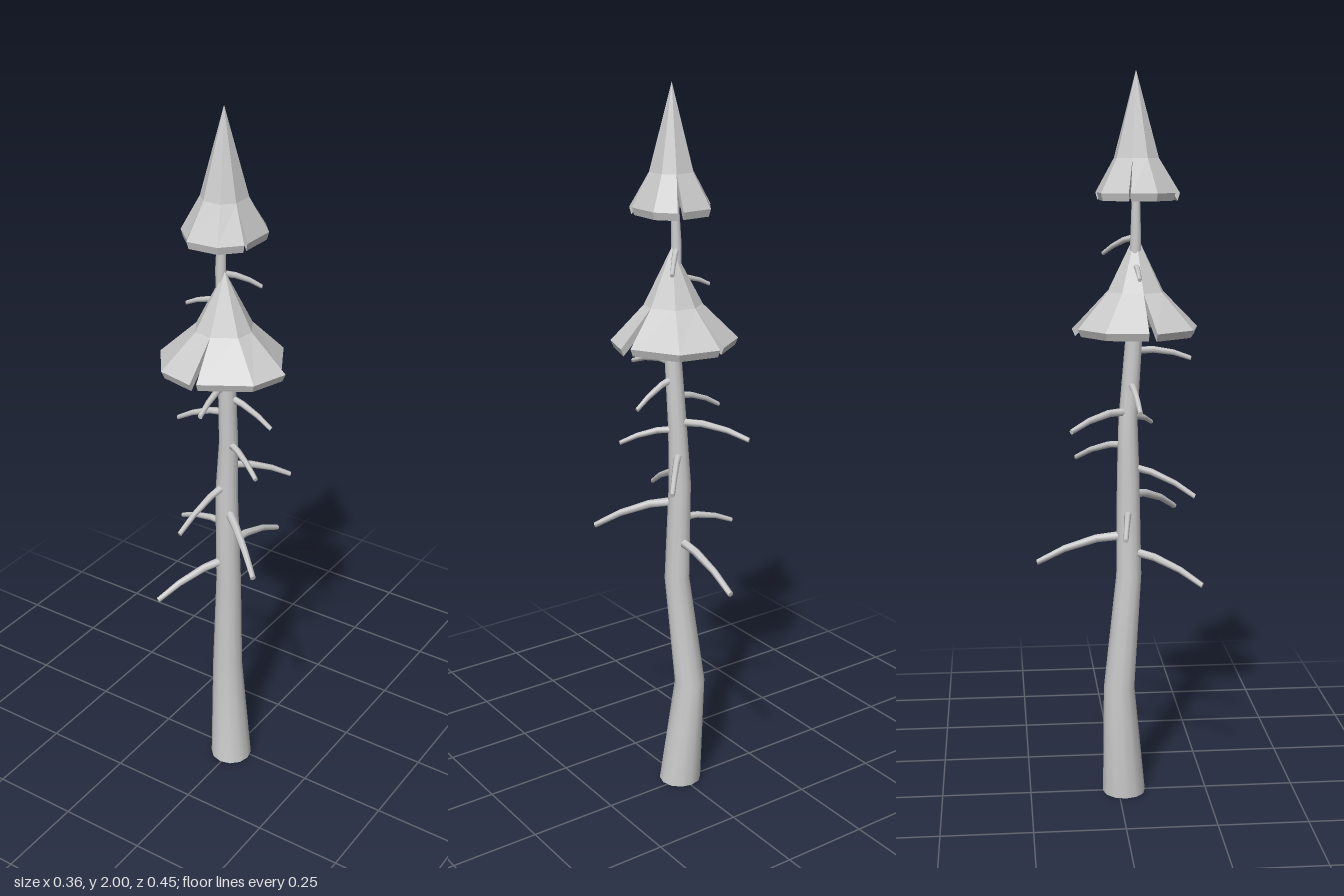
import * as THREE from 'three';

const V = (x, y, z) => new THREE.Vector3(x, y, z);
const bark = new THREE.MeshStandardMaterial({ color: 0xcccccc });
const foliage = new THREE.MeshStandardMaterial({ color: 0xcccccc, flatShading: true });

// Trunk rings: x, y, z of the centre and radius
const TRUNK = [
  [-0.003, 0, 0.016, 0.06], [-0.026, 0.32, 0, 0.043], [-0.002, 0.64, 0.029, 0.035],
  [-0.01, 0.92, 0.026, 0.031], [-0.003, 1.08, 0.026, 0.026], [0.002, 1.3, 0.042, 0.023],
  [-0.013, 1.58, 0.045, 0.014], [-0.006, 1.78, 0.046, 0.008],
];

// Tapered round limb through rings [x, y, z, r], all square to one axis
function limb(name, rings, axis, sides) {
  const turn = new THREE.Quaternion().setFromUnitVectors(V(0, 1, 0), axis);
  const pos = [], index = [];
  const addRing = ([x, y, z, r]) => {
    for (let j = 0; j < sides; j++) {
      const a = (j / sides) * Math.PI * 2;
      const p = V(Math.sin(a) * r, 0, Math.cos(a) * r).applyQuaternion(turn);
      pos.push(x + p.x, y + p.y, z + p.z);
    }
  };
  rings.forEach(addRing);
  for (let i = 0; i < rings.length - 1; i++) {
    for (let j = 0; j < sides; j++) {
      const k = (j + 1) % sides, a = i * sides, b = a + sides;
      index.push(a + j, a + k, b + k, a + j, b + k, b + j);
    }
  }
  // End caps on their own vertices, so the edges stay sharp
  const start = rings.length * sides, end = start + sides;
  addRing(rings[0]);
  addRing(rings[rings.length - 1]);
  for (let j = 1; j < sides - 1; j++) {
    index.push(start, start + j + 1, start + j, end, end + j, end + j + 1);
  }
  const geo = new THREE.BufferGeometry();
  geo.setAttribute('position', new THREE.Float32BufferAttribute(pos, 3));
  geo.setIndex(index);
  geo.computeVertexNormals();
  const mesh = new THREE.Mesh(geo, bark);
  mesh.name = name;
  return mesh;
}

// Trunk centre at a height
function trunkAt(y) {
  const i = TRUNK.findIndex((r) => r[1] > y);
  const a = TRUNK[i - 1], b = TRUNK[i];
  return V(...a).lerp(V(...b), (y - a[1]) / (b[1] - a[1]));
}

// Drooping bare branch from the trunk at height y to a tip
function branch(y, tipX, tipY, tipZ) {
  const base = trunkAt(y), tip = V(tipX, tipY, tipZ);
  const axis = tip.clone().sub(base);
  const length = axis.length();
  const r = 0.006 + 0.028 * length;
  const rings = [0, 0.35, 0.7, 1].map((t) => {
    const p = base.clone().lerp(tip, t);
    p.y += 0.28 * length * t * (1 - t);
    return [p.x, p.y, p.z, r * (1 - 0.4 * t)];
  });
  return limb('branch', rings, axis.normalize(), 6);
}

// Skirt of four folded panels, split by slits; each panel has three rim points [x, z]
function crown(name, panels, s) {
  const group = new THREE.Group();
  group.name = name;
  const centre = [0, 0.046];
  panels.forEach((rim, n) => {
    const before = panels[(n + 3) % 4][2], after = panels[(n + 1) % 4][0];
    const fold = rim.map(([x, z], i) => {
      const o = i === 0 ? before : i === 2 ? after : [x, z];
      return [(x + o[0]) / 2, (z + o[1]) / 2];
    });
    const place = (list, f, y) => list.map(([x, z]) =>
      V(centre[0] + (x - centre[0]) * f, y, centre[1] + (z - centre[1]) * f));
    const apex = V(centre[0], s.top, centre[1]);
    const apexIn = V(centre[0], s.top - 0.06, centre[1]);
    const m = place(fold, s.fold, s.foldY), r = place(rim, 1, s.rimY);
    const mIn = place(fold, s.fold * 0.93, s.foldY - 0.028);
    const rIn = place(rim, 0.95, s.rimY - 0.02);
    const pts = [];
    const quad = (a, b, c, d) => pts.push(a, b, c, a, c, d);
    for (let i = 0; i < 2; i++) {
      const k = i + 1;
      pts.push(apex, m[k], m[i], apexIn, mIn[i], mIn[k]);
      quad(m[i], m[k], r[k], r[i]);
      quad(mIn[k], mIn[i], rIn[i], rIn[k]);
      quad(r[i], r[k], rIn[k], rIn[i]);
    }
    // Slit walls
    quad(m[0], r[0], rIn[0], mIn[0]);
    quad(r[2], m[2], mIn[2], rIn[2]);
    const geo = new THREE.BufferGeometry().setFromPoints(pts);
    geo.computeVertexNormals();
    const mesh = new THREE.Mesh(geo, foliage);
    mesh.name = 'crownPanel';
    group.add(mesh);
  });
  return group;
}

export function createModel() {
  const tree = new THREE.Group();
  tree.name = 'tree';
  tree.add(limb('trunk', TRUNK, V(0, 1, 0), 12));

  // Branches: height on the trunk, then tip x, y, z
  const branches = new THREE.Group();
  branches.name = 'branches';
  [
    [0.71, -0.11, 0.635, 0.22], [0.755, 0, 0.68, -0.225], [0.87, 0.175, 0.79, 0.177],
    [0.82, -0.175, 0.782, 0.005], [0.95, -0.042, 0.868, 0.206], [1.01, 0.11, 0.952, -0.11],
    [1.1, -0.125, 1.068, -0.135], [1.08, 0.135, 1.045, 0.105], [1.175, -0.155, 1.12, 0.045],
    [1.225, 0.13, 1.158, 0.025], [1.265, 0.026, 1.24, 0.2], [1.495, -0.12, 1.465, 0.045],
    [1.57, 0.058, 1.522, -0.037],
  ].forEach((b) => branches.add(branch(...b)));
  tree.add(branches);

  tree.add(crown('lowerCrown', [
    [[-0.168, 0.066], [-0.152, -0.046], [-0.054, -0.112]],
    [[-0.032, -0.127], [0.084, -0.107], [0.154, 0.016]],
    [[0.175, 0.03], [0.143, 0.13], [0.018, 0.204]],
    [[0.005, 0.214], [-0.1, 0.19], [-0.178, 0.086]],
  ], { top: 1.58, fold: 0.46, foldY: 1.425, rimY: 1.33 }));

  tree.add(crown('upperCrown', [
    [[-0.102, 0.018], [-0.055, -0.05], [0.034, -0.054]],
    [[0.055, -0.057], [0.096, -0.009], [0.096, 0.09]],
    [[0.096, 0.103], [0.05, 0.153], [-0.036, 0.159]],
    [[-0.045, 0.146], [-0.1, 0.093], [-0.107, 0.023]],
  ], { top: 2, fold: 0.55, foldY: 1.775, rimY: 1.685 }));

  return tree;
}
